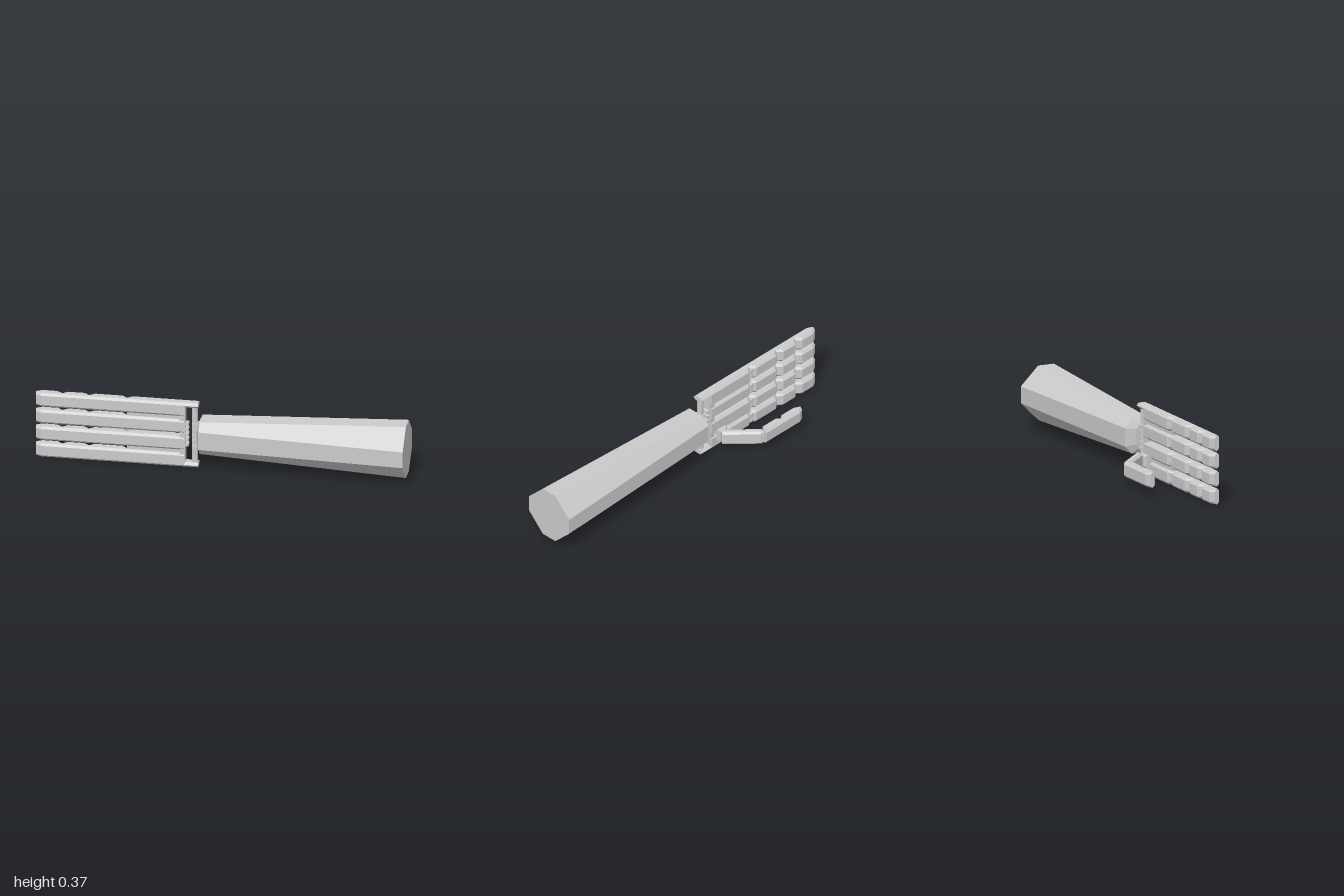
import * as THREE from 'three';

const MID_Y = 0.19;
const Z0 = 0.018, Z1 = 0.08;
const material = new THREE.MeshStandardMaterial({ color: 0xcccccc, flatShading: true });

// Loft of chamfered rectangles along x; each section is [x, z0, z1, halfHeight, chamfer]
function loft(sections) {
  const pos = [], idx = [];
  for (const [x, z0, z1, h, c] of sections) {
    const ring = [
      [h, z0 + c], [h, z1 - c], [h - c, z1], [c - h, z1],
      [-h, z1 - c], [-h, z0 + c], [c - h, z0], [h - c, z0],
    ];
    for (const [y, z] of ring) pos.push(x, y, z);
  }
  const last = (sections.length - 1) * 8;
  for (let i = 0; i < last; i += 8) {
    for (let k = 0; k < 8; k++) {
      const n = (k + 1) % 8;
      idx.push(i + k, i + n, i + 8 + n, i + k, i + 8 + n, i + 8 + k);
    }
  }
  for (let k = 1; k < 7; k++) idx.push(0, k + 1, k, last, last + k, last + k + 1);
  const geometry = new THREE.BufferGeometry();
  geometry.setAttribute('position', new THREE.Float32BufferAttribute(pos, 3));
  geometry.setIndex(idx);
  const flat = geometry.toNonIndexed();
  flat.computeVertexNormals();
  return flat;
}

function add(parent, name, geometry, x = 0, y = 0, z = 0) {
  const mesh = new THREE.Mesh(geometry, material);
  mesh.name = name;
  mesh.position.set(x, y, z);
  parent.add(mesh);
  return mesh;
}

const box = (w, h, d) => new THREE.BoxGeometry(w, h, d);
const rod = (r, length) => new THREE.CylinderGeometry(r, r, length, 16);

// Finger with bevelled tip and V notches at the joints on the palm side
function fingerGeometry() {
  const h = 0.039, c = 0.012;
  const sections = [[-1, 0.036, 0.064, h, c], [-0.97, Z0, Z1, h, c]];
  for (const x of [-0.86, -0.715, -0.51]) {
    sections.push(
      [x - 0.028, Z0, Z1, h, c],
      [x, 0.042, Z1, h, c],
      [x + 0.028, Z0, Z1, h, c],
    );
  }
  sections.push([-0.2, Z0, Z1, h, c]);
  return loft(sections);
}

export function createModel() {
  const model = new THREE.Group();
  model.name = 'mechanicalArm';

  // Octagonal forearm with a short tapered wrist end
  add(model, 'forearm', loft([
    [-0.13, 0.012, 0.083, 0.06, 0.018],
    [-0.112, -0.045, 0.14, 0.0925, 0.042],
    [1, -0.1, 0.2, 0.149, 0.103],
  ]), 0, MID_Y);

  // Four fingers, each with a knuckle pin and lugs
  const hand = new THREE.Group();
  hand.name = 'hand';
  model.add(hand);
  const finger = fingerGeometry();
  for (let i = 0; i < 4; i++) {
    const y = MID_Y + (i - 1.5) * 0.0975;
    add(hand, 'finger', finger, 0, y);
    add(hand, 'knucklePin', rod(0.011, 0.05), -0.51, y, 0.036);
    for (const s of [-1, 1]) {
      add(hand, 'knuckleLug', box(0.05, 0.01, 0.02), -0.51, y + s * 0.018, 0.036);
    }
  }

  // Palm webs in the outer gaps and the plate behind the fingers
  for (const s of [-1, 1]) {
    add(hand, 'palmWeb', box(0.29, 0.024, 0.026), -0.365, MID_Y + s * 0.0975, 0.049);
  }
  add(hand, 'palmPlate', box(0.03, 0.35, 0.05), -0.21, MID_Y, 0.049);

  // Outer side rails carrying the wrist axle
  for (const s of [-1, 1]) {
    add(hand, 'wristRail', loft([
      [-0.23, Z0, Z1, 0.0135, 0.0125],
      [-0.125, Z0, Z1, 0.0135, 0.0125],
    ]), 0, MID_Y + s * 0.172);
  }
  add(hand, 'wristAxle', rod(0.017, 0.33), -0.145, MID_Y, 0.049);

  // Knuckled wrist hinge
  for (let i = -2; i <= 2; i++) {
    const y = MID_Y + i * 0.03;
    add(hand, 'wristTooth', box(0.022, 0.015, 0.036), -0.188, y, 0.049);
    add(hand, 'wristClevis', box(0.035, 0.014, 0.046), -0.14, y, 0.049);
  }

  // Folded thumb standing off the palm
  const thumb = new THREE.Group();
  thumb.name = 'thumb';
  thumb.position.y = 0.091;
  model.add(thumb);
  add(thumb, 'thumbBase', loft([
    [-0.29, -0.006, 0.012, 0.034, 0.004],
    [-0.275, -0.016, 0.012, 0.034, 0.006],
    [-0.23, -0.016, 0.012, 0.034, 0.006],
  ]));
  add(thumb, 'thumbMount', box(0.04, 0.05, 0.03), -0.26, 0, 0.018);
  const lower = add(thumb, 'thumbLower', loft([
    [-0.108, -0.016, 0.016, 0.041, 0.01],
    [-0.096, -0.022, 0.022, 0.041, 0.012],
    [0.096, -0.022, 0.022, 0.041, 0.012],
    [0.108, -0.016, 0.016, 0.041, 0.01],
  ]), -0.312, 0, -0.098);
  lower.rotation.y = -0.77;
  add(thumb, 'thumbPin', rod(0.014, 0.06), -0.395, 0, -0.172);
  const h = 0.041, c = 0.012, back = -0.196, front = -0.14;
  add(thumb, 'thumbTip', loft([
    [-0.68, -0.183, -0.157, h, c],
    [-0.65, back, front, h, c],
    [-0.565, back, front, h, c],
    [-0.54, back, -0.162, h, c],
    [-0.515, back, front, h, c],
    [-0.425, back, front, h, c],
    [-0.397, back, -0.165, h, c],
  ]));

  return model;
}
